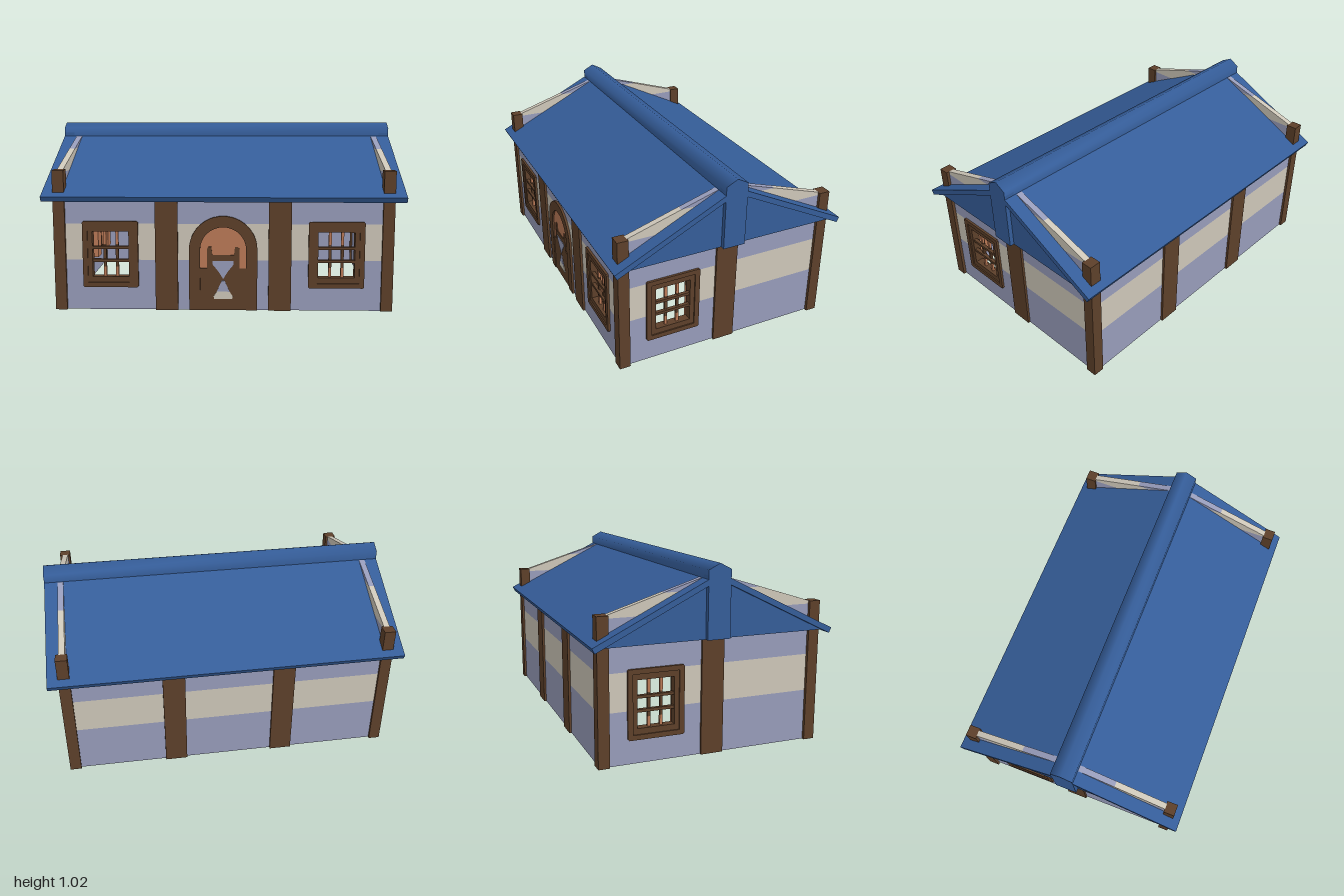
import * as THREE from 'three';
import { toCreasedNormals } from 'three/addons/utils/BufferGeometryUtils.js';

const mat = (name, color) => {
  const m = new THREE.MeshStandardMaterial({ color });
  m.name = name;
  return m;
};

export function createModel() {
  const lavender = mat('lavender plaster', 0x979cba);
  const beige = mat('beige plaster', 0xcec7b9);
  const brown = mat('brown timber', 0x5d402a);
  const orange = mat('orange wood', 0xbb7a57);
  const blue = mat('blue roof', 0x355d99);

  const add = (parent, name, geo, material, x = 0, y = 0, z = 0) => {
    const m = new THREE.Mesh(geo, material);
    m.name = name;
    m.position.set(x, y, z);
    parent.add(m);
    return m;
  };
  // box given by its limits in x and y, with depth centred on z
  const slab = (parent, name, material, x0, x1, y0, y1, d, z = 0) =>
    add(parent, name, new THREE.BoxGeometry(x1 - x0, y1 - y0, d), material, (x0 + x1) / 2, (y0 + y1) / 2, z);
  const poly = pts => new THREE.Shape(pts.map(p => new THREE.Vector2(p[0], p[1])));
  // extrusion centred on z = 0
  const extrude = (shape, d) =>
    new THREE.ExtrudeGeometry(shape, { depth: d, bevelEnabled: false, curveSegments: 12 }).translate(0, 0, -d / 2);
  // profile given in (z, y), extruded along x
  const alongX = (pts, d) => extrude(poly(pts.map(([z, y]) => [-z, y])), d).rotateY(Math.PI / 2);

  const house = new THREE.Group();
  house.name = 'house';

  // Banded plaster wall pieces
  const T = 0.034, wallTop = 0.64;
  const bands = [[0, 0.285, lavender], [0.285, 0.49, beige], [0.49, 0.77, lavender]];
  const plaster = (g, x0, x1, y0, y1) => {
    for (const [b0, b1, m] of bands) {
      const lo = Math.max(b0, y0), hi = Math.min(b1, y1);
      if (hi > lo) slab(g, 'wallBand', m, x0, x1, lo, hi, T);
    }
  };

  // Rectangle ring with slightly clipped outer corners
  const ring = (w, h, iw, ih, c) => {
    const s = poly([[-w + c, -h], [w - c, -h], [w, -h + c], [w, h - c], [w - c, h], [-w + c, h], [-w, h - c], [-w, -h + c]]);
    s.holes.push(new THREE.Path([[-iw, -ih], [-iw, ih], [iw, ih], [iw, -ih]].map(p => new THREE.Vector2(...p))));
    return s;
  };

  // Window with stepped frame and lattice
  const addWindow = (parent, x) => {
    const g = new THREE.Group();
    g.name = 'window';
    g.position.set(x, 0.317, 0);
    parent.add(g);
    add(g, 'outerFrame', extrude(ring(0.155, 0.187, 0.127, 0.16, 0.007), 0.06), brown);
    add(g, 'innerFrame', extrude(ring(0.128, 0.161, 0.101, 0.128, 0), 0.046), brown);
    for (const s of [-1, 1]) {
      const bx = s * 0.034;
      slab(g, 'crossBar', brown, -0.102, 0.102, s * 0.037 - 0.008, s * 0.037 + 0.008, 0.02, 0.008);
      slab(g, 'uprightMiddle', brown, bx - 0.008, bx + 0.008, -0.075, 0.055, 0.014);
      slab(g, 'uprightTop', orange, bx - 0.008, bx + 0.008, 0.055, 0.128, 0.014);
      slab(g, 'uprightBottom', orange, bx - 0.008, bx + 0.008, -0.128, -0.075, 0.014);
      // deep indoor side panels
      const x0 = s > 0 ? 0.115 : -0.22;
      slab(g, 'innerPanel', orange, x0, x0 + 0.105, -0.18, 0.04, 0.05, -0.041);
      slab(g, 'innerPanelTop', brown, x0, x0 + 0.105, 0.04, 0.1, 0.05, -0.041);
    }
  };

  // One wall facing +z in its own frame, with windows cut out and timber posts
  const makeWall = (name, half, windows, posts, rot, x, z) => {
    const g = new THREE.Group();
    g.name = name;
    g.rotation.y = rot;
    g.position.set(x, 0, z);
    house.add(g);
    let start = -half;
    for (const w of windows) {
      plaster(g, start, w - 0.11, 0, wallTop);
      plaster(g, w - 0.11, w + 0.11, 0, 0.18);
      plaster(g, w - 0.11, w + 0.11, 0.455, wallTop);
      start = w + 0.11;
      addWindow(g, w);
    }
    plaster(g, start, half, 0, wallTop);
    for (const p of posts) slab(g, 'wallPost', brown, p - 0.063, p + 0.063, 0, wallTop, 0.06);
    return g;
  };
  const front = makeWall('frontWall', 0.9, [-0.628, 0.628], [-0.315, 0.315], 0, 0, 0.6);
  makeWall('backWall', 0.9, [], [-0.315, 0.315], Math.PI, 0, -0.6);
  makeWall('leftWall', 0.59, [-0.315], [0], Math.PI / 2, 0.908, 0);
  makeWall('rightWall', 0.59, [-0.315], [0], -Math.PI / 2, -0.908, 0);

  // Upper end walls that rise through the roof, and corner posts
  const endTops = [
    [lavender, [[-0.575, 0.64], [0.575, 0.64], [0.575, 0.77], [-0.575, 0.77]]],
    [beige, [[-0.575, 0.77], [0.575, 0.77], [0.575, 0.786], [0.274, 0.88], [-0.274, 0.88], [-0.575, 0.786]]],
    [lavender, [[-0.274, 0.88], [0.274, 0.88], [0.07, 0.943], [-0.07, 0.943]]],
  ];
  for (const s of [-1, 1]) {
    for (const [m, pts] of endTops) add(house, 'endWallTop', alongX(pts, T), m, s * 0.908);
    for (const t of [-1, 1])
      add(house, 'cornerPost', new THREE.BoxGeometry(0.064, 0.787, 0.062), brown, s * 0.91, 0.3935, t * 0.6);
  }

  // Arched door
  const arch = (r, cy) => {
    const s = new THREE.Shape();
    s.moveTo(-r, 0);
    s.lineTo(r, 0);
    s.lineTo(r, cy);
    s.absarc(0, cy, r, 0, Math.PI, false);
    s.lineTo(-r, 0);
    return s;
  };
  const door = new THREE.Group();
  door.name = 'door';
  front.add(door);
  const frame = new THREE.Shape();
  frame.moveTo(0.19, 0);
  frame.lineTo(0.19, 0.345);
  frame.absarc(0, 0.345, 0.19, 0, Math.PI, false);
  frame.lineTo(-0.19, 0);
  frame.lineTo(-0.128, 0);
  frame.lineTo(-0.128, 0.345);
  frame.absarc(0, 0.345, 0.128, Math.PI, 0, true);
  frame.lineTo(0.128, 0);
  add(door, 'doorFrame', extrude(frame, 0.06), brown);
  add(door, 'doorPanel', extrude(arch(0.13, 0.345), 0.038), orange);
  const half = [[0.128, 0], [0.128, 0.24], [0.09, 0.24], [0.09, 0.35], [0.082, 0.362], [0.066, 0.362], [0.06, 0.315]];
  const lower = [...half, ...half.map(([x, y]) => [-x, y]).reverse()];
  const inlays = [
    ['upperInlay', lavender, [[0, 0.18], [0.026, 0.222], [0.058, 0.262], [0.058, 0.283], [-0.058, 0.283], [-0.058, 0.262], [-0.026, 0.222]]],
    ['middleInlay', lavender, [[-0.036, 0.107], [0.036, 0.107], [0.008, 0.17], [-0.008, 0.17]]],
    ['lowerInlay', beige, [[-0.05, 0.066], [0.05, 0.066], [0.054, 0.08], [0.036, 0.107], [-0.036, 0.107], [-0.054, 0.08]]],
  ];
  for (const s of [-1, 1]) {
    add(door, 'doorLowerPanel', extrude(poly(lower), 0.006), brown, 0, 0, s * 0.021);
    for (const [name, m, pts] of inlays) add(door, name, extrude(poly(pts), 0.004), m, 0, 0, s * 0.025);
  }

  // Roof slopes, and two solid gable blocks whose undersides form the ceiling
  for (const s of [-1, 1]) {
    const slope = [[0, 0.975], [0.672, 0.645], [0.658, 0.617], [0, 0.942]];
    add(house, 'roofSlope', alongX(slope.map(([z, y]) => [s * z, y]), 2), blue);
    add(house, 'gableBlock', alongX([[-0.625, 0.634], [0.625, 0.634], [0, 0.945]], 0.945), blue, s * 0.5025);
    add(house, 'gablePost', new THREE.BoxGeometry(0.06, 0.33, 0.126), blue, s * 0.97, 0.799, 0);
  }
  // Ridge cap, smooth across its top folds
  const cap = alongX([[-0.063, 0.93], [0.063, 0.93], [0.063, 0.992], [0, 1.025], [-0.063, 0.992]], 2);
  add(house, 'ridgeCap', toCreasedNormals(cap, 1.25), blue);

  return house;
}
